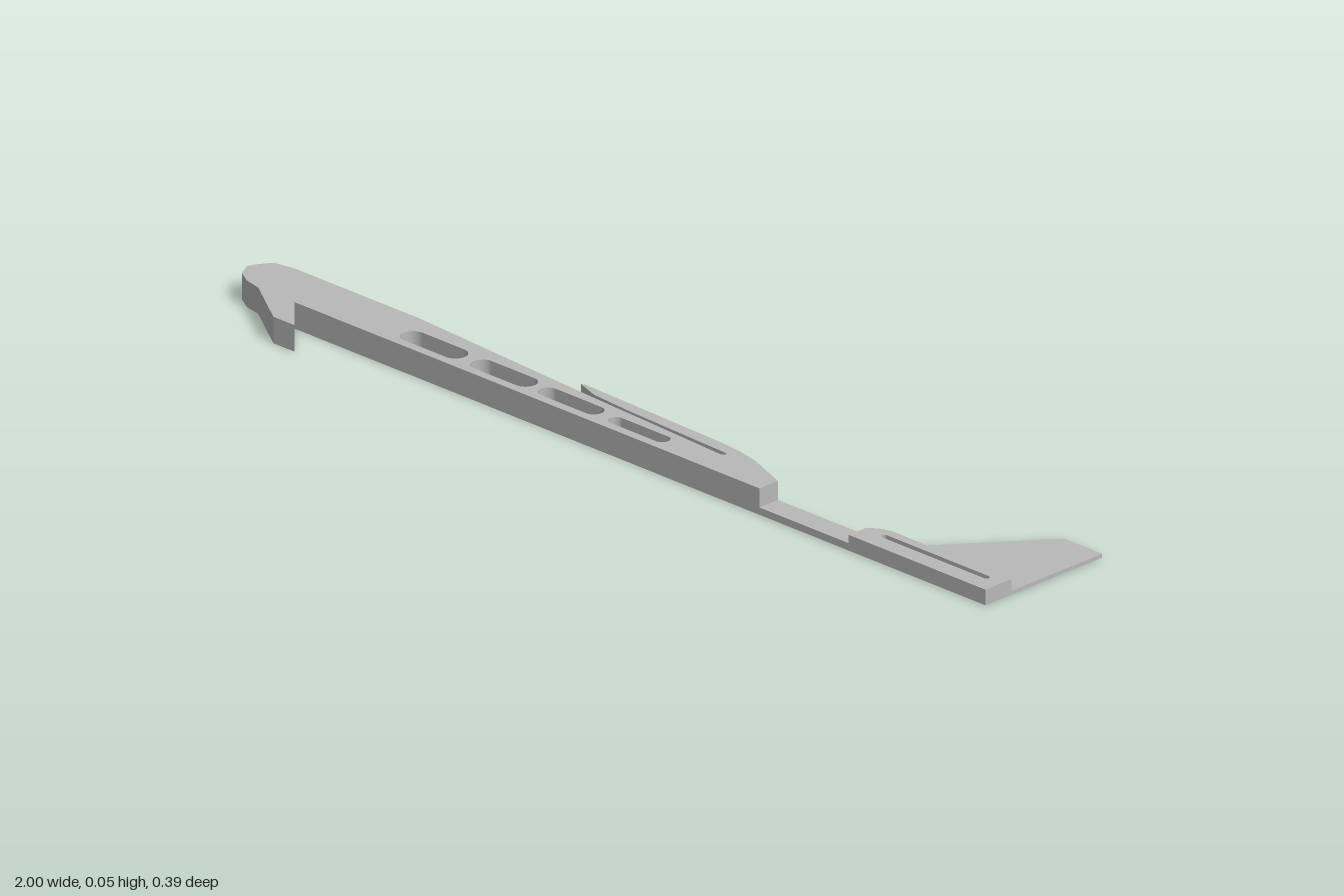
import * as THREE from 'three';

const grey = new THREE.MeshStandardMaterial({ color: 0xb8b8b8 });
grey.name = 'plain grey';

// Plan points are [x, z]; the plate is raised from y = 0.
const toV2 = (pts) => pts.map(([x, z]) => new THREE.Vector2(x, -z));

// Slot with round ends, long in x.
function slot(x0, x1, z0, z1) {
  const r = (z1 - z0) / 2, y = -(z0 + z1) / 2;
  const path = new THREE.Path();
  path.absarc(x1 - r, y, r, -Math.PI / 2, Math.PI / 2, false);
  path.absarc(x0 + r, y, r, Math.PI / 2, Math.PI * 1.5, false);
  path.closePath();
  return path;
}

function plate(name, pts, height, holes = []) {
  const shape = new THREE.Shape(toV2(pts));
  shape.holes.push(...holes);
  const geo = new THREE.ExtrudeGeometry(shape, { depth: height, bevelEnabled: false, curveSegments: 8 });
  geo.rotateX(-Math.PI / 2);
  const mesh = new THREE.Mesh(geo, grey);
  mesh.name = name;
  return mesh;
}

export function createModel() {
  const model = new THREE.Group();
  model.name = 'flatGlider';

  // Body with nose, hook and the springy upper strip
  model.add(plate('body', [
    [-1, 0.062], [-0.995, 0.045], [-0.975, 0.014], [-0.93, 0.006], [-0.6, 0.006],
    [-0.13, 0.036], [0.245, 0.056], [0.25, 0.05], [0.245, 0.045],
    [-0.03, 0.034], [-0.12, 0.027], [-0.172, 0.009], [-0.165, 0.005],
    [0.2, 0.016], [0.26, 0.021], [0.31, 0.032], [0.405, 0.068],
    [0.405, 0.117], [-0.82, 0.117], [-0.745, 0.193], [-0.8, 0.193],
    [-0.915, 0.117], [-0.955, 0.108], [-0.985, 0.09],
  ], 0.054, [
    slot(-0.575, -0.415, 0.049, 0.098),
    slot(-0.39, -0.23, 0.051, 0.098),
    slot(-0.21, -0.05, 0.058, 0.098),
    slot(-0.022, 0.13, 0.067, 0.098),
  ]));

  // Thin boom between body and tail
  model.add(plate('boom', [[0.405, 0.068], [0.64, 0.068], [0.64, 0.117], [0.405, 0.117]], 0.015));

  // Tail block with its long narrow slot
  model.add(plate('tailBlock', [
    [0.64, 0.07], [0.665, 0.053], [0.685, 0.048], [1, 0.048], [1, 0.117], [0.64, 0.117],
  ], 0.032, [slot(0.685, 0.967, 0.068, 0.081)]));

  // Swept fin
  model.add(plate('fin', [[0.71, 0.048], [0.9, -0.193], [1, -0.193], [1, 0.048]], 0.008));

  return model;
}
